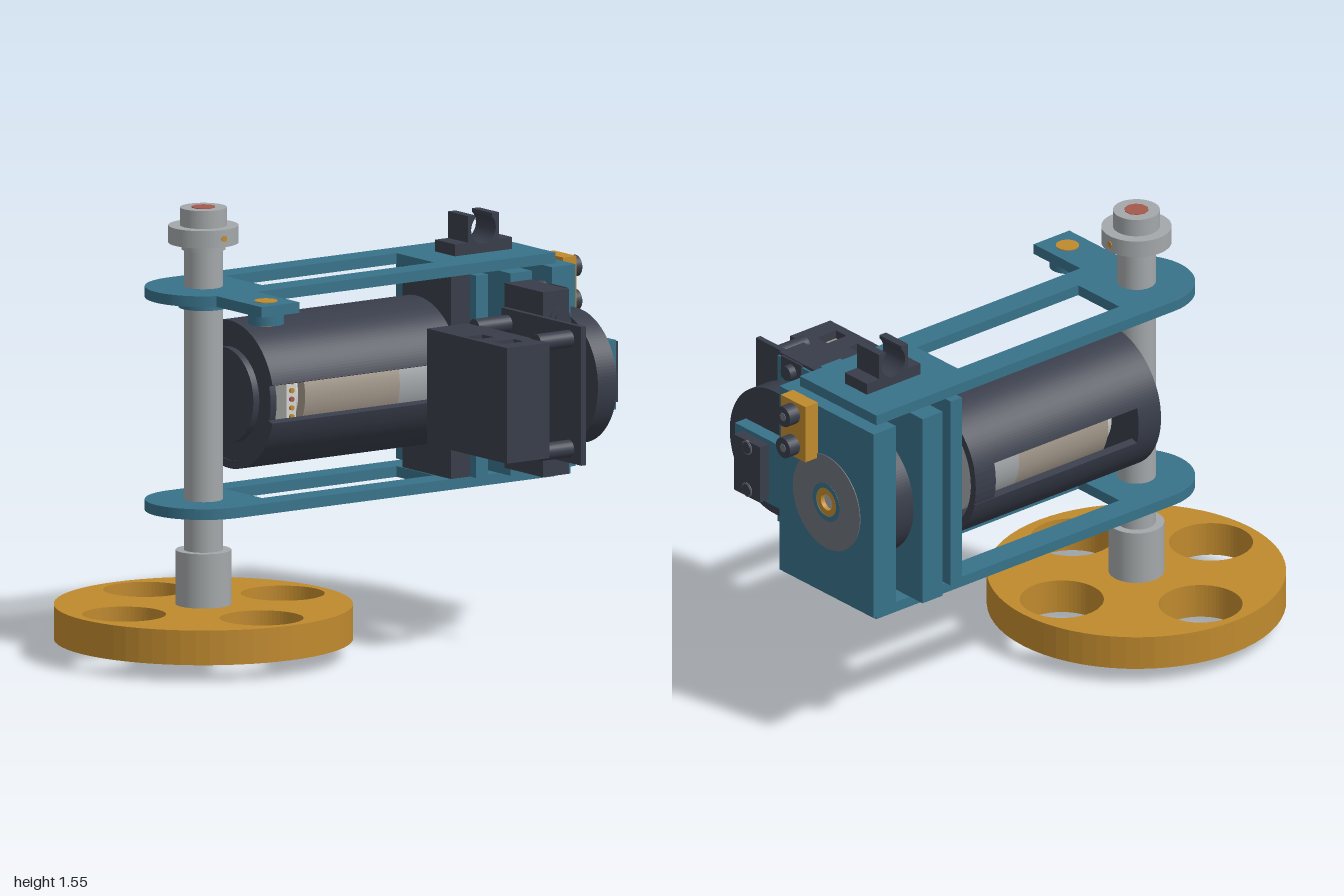
import * as THREE from 'three';

const mat = (name, color, side = THREE.FrontSide) => {
  const m = new THREE.MeshStandardMaterial({ color, side });
  m.name = name;
  return m;
};

export function createModel() {
  const teal = mat('teal', 0x38728a), gold = mat('gold', 0xc08a2e), dark = mat('charcoal', 0x383d4a);
  const silver = mat('silver', 0xa4a8aa), grey = mat('mid grey', 0x6c717a), beige = mat('beige', 0xa3988b);
  const white = mat('pale grey', 0xd4d6d2), red = mat('dull red', 0xa5594c);
  const model = new THREE.Group();
  const AX = -0.49, AZ = -0.118, MY = 0.89, SZ = 0.285; // upright shaft x/z, motor axis height, side shaft z

  const add = (name, geo, m) => {
    const mesh = new THREE.Mesh(geo, m);
    mesh.name = name;
    model.add(mesh);
    return mesh;
  };
  const box = (name, m, x0, x1, y0, y1, z0, z1) =>
    add(name, new THREE.BoxGeometry(x1 - x0, y1 - y0, z1 - z0)
      .translate((x0 + x1) / 2, (y0 + y1) / 2, (z0 + z1) / 2), m);
  const cylY = (name, m, r, y0, y1, x = AX, z = AZ, seg = 48) =>
    add(name, new THREE.CylinderGeometry(r, r, y1 - y0, seg).translate(x, (y0 + y1) / 2, z), m);
  const cylX = (name, m, r, x0, x1, y = MY, z = AZ, seg = 48) =>
    add(name, new THREE.CylinderGeometry(r, r, x1 - x0, seg).rotateZ(-Math.PI / 2)
      .translate((x0 + x1) / 2, y, z), m);
  const cylZ = (name, m, r, z0, z1, x, y, seg = 20) =>
    add(name, new THREE.CylinderGeometry(r, r, z1 - z0, seg).rotateX(Math.PI / 2)
      .translate(x, y, (z0 + z1) / 2), m);
  const extrude = (s, depth) =>
    new THREE.ExtrudeGeometry(s, { depth, bevelEnabled: false, curveSegments: 32 });
  // outline in (x, z), thickness along y
  const flat = (name, m, s, y0, y1) =>
    add(name, extrude(s, y1 - y0).rotateX(Math.PI / 2).translate(0, y1, 0), m);
  // outline in (-z, y), thickness along x
  const slab = (name, m, s, x0, x1) =>
    add(name, extrude(s, x1 - x0).rotateY(Math.PI / 2).translate(x0, 0, 0), m);
  const circle = (x, y, r) => new THREE.Path().absarc(x, y, r, 0, Math.PI * 2, true);
  const rect = (x0, x1, y0, y1, C = THREE.Shape) => new C([[x0, y0], [x1, y0], [x1, y1], [x0, y1]]
    .map(p => new THREE.Vector2(...p)));

  // Wheel with four round openings
  const wheel = new THREE.Shape().absarc(AX, AZ, 0.51, 0, Math.PI * 2);
  for (let i = 0; i < 4; i++) {
    const a = i * Math.PI / 2;
    wheel.holes.push(circle(AX + 0.335 * Math.cos(a), AZ + 0.335 * Math.sin(a), 0.143));
  }
  flat('wheel', gold, wheel, 0.057, 0.177);
  cylY('wheelHub', gold, 0.12, 0.002, 0.06);
  cylY('hubBushing', grey, 0.072, 0.001, 0.01);
  cylY('shaftEnd', silver, 0.035, 0, 0.01);
  cylZ('hubScrew', dark, 0.018, AZ + 0.11, AZ + 0.122, AX + 0.02, 0.03);

  // Upright shaft, sleeve and collar
  cylY('shaft', silver, 0.066, 0.17, 1.45);
  cylY('shaftSleeve', silver, 0.095, 0.175, 0.365);
  cylY('collarNeck', silver, 0.075, 1.405, 1.43);
  cylY('collar', silver, 0.12, 1.428, 1.488);
  cylY('shaftCap', silver, 0.08, 1.488, 1.55);
  cylY('capCore', red, 0.042, 1.54, 1.552, AX, AZ, 10);
  cylZ('collarScrew', gold, 0.011, AZ + 0.11, AZ + 0.122, AX, 1.457);
  cylX('collarScrew', gold, 0.011, AX + 0.11, AX + 0.122, 1.457, AZ, 20);

  // Top and bottom frame plates, the top one with a side tab
  const framePlate = tab => {
    const s = new THREE.Shape();
    const z0 = AZ - 0.2, z1 = AZ + 0.2;
    s.moveTo(0.85, z0);
    s.lineTo(0.85, z1);
    if (tab) {
      s.lineTo(-0.41, z1);
      s.lineTo(-0.41, 0.325);
      s.lineTo(-0.57, 0.325);
      s.lineTo(-0.57, AZ + 0.183);
      s.absarc(AX, AZ, 0.2, Math.PI * 0.631, Math.PI * 1.5, false);
    } else {
      s.lineTo(AX, z1);
      s.absarc(AX, AZ, 0.2, Math.PI / 2, Math.PI * 1.5, false);
    }
    s.closePath();
    s.holes.push(rect(-0.32, 0.405, -0.226, -0.012, THREE.Path));
    return s;
  };
  flat('topPlate', teal, framePlate(true), 1.24, 1.277);
  flat('bottomPlate', teal, framePlate(false), 0.503, 0.54);
  cylY('shaftBearingSeat', teal, 0.085, 1.205, 1.24);
  cylY('tabBoss', teal, 0.062, 1.2, 1.24, AX, 0.242);
  cylY('tabBushing', gold, 0.04, 1.195, 1.28, AX, 0.242, 32);

  // Motor housing: two curved shells leaving slots at front and back
  const R = 0.256, r = 0.228, a0 = 0.26;
  for (const k of [0, 1]) {
    const s = new THREE.Shape();
    const b = a0 + k * Math.PI, e = Math.PI - a0 + k * Math.PI;
    s.absarc(-AZ, MY, R, b, e, false);
    s.absarc(-AZ, MY, r, e, b, true);
    s.closePath();
    slab('motorShell', dark, s, -0.38, 0.45);
  }
  const ring = new THREE.Shape().absarc(-AZ, MY, R - 0.002, 0, Math.PI * 2);
  ring.holes.push(circle(-AZ, MY, r));
  slab('shellBand', dark, ring, 0.36, 0.45);
  const patch = new THREE.Shape();
  patch.absarc(-AZ, MY, R, -a0, a0, false);
  patch.absarc(-AZ, MY, r, a0, -a0, true);
  slab('shellBackBridge', dark, patch, -0.38, -0.28);
  cylX('motorEndCap', dark, 0.23, -0.375, -0.35);
  cylX('motorEndBoss', dark, 0.165, -0.4, -0.37);
  cylX('motorBody', beige, 0.19, -0.2, 0.2);
  cylX('motorFront', silver, 0.19, 0.2, 0.4);
  cylX('motorRear', white, 0.15, -0.25, -0.2);
  box('connector', white, -0.285, -0.245, 0.81, 0.97, 0.0, 0.08);
  for (let i = 0; i < 5; i++)
    cylZ('connectorPin', i === 2 ? red : gold, 0.009, 0.08, 0.088, -0.265, 0.83 + i * 0.03, 10);
  box('motorFlange', dark, 0.41, 0.49, 0.54, 1.24, -0.2, 0.08);

  // Upright plates across the frame
  box('motorPlate', teal, 0.49, 0.54, 0.54, 1.24, -0.345, 0.115);
  box('middlePlate', teal, 0.61, 0.7, 0.54, 1.24, -0.385, 0.15);
  const end = rect(-0.13, 0.362, 0.54, 1.238);
  end.holes.push(circle(-AZ, MY, 0.055));
  slab('endBlock', teal, end, 0.8, 0.9);

  // Output bearing set into the end block
  const annulus = (name, m, ro, ri, x0, x1) => {
    const s = new THREE.Shape().absarc(-AZ, MY, ro, 0, Math.PI * 2);
    s.holes.push(circle(-AZ, MY, ri));
    slab(name, m, s, x0, x1);
  };
  annulus('bearingFace', grey, 0.175, 0.07, 0.895, 0.903);
  annulus('bearingRim', teal, 0.07, 0.052, 0.89, 0.904);
  annulus('bearingBushing', gold, 0.053, 0.03, 0.85, 0.902);
  cylX('driveShaft', silver, 0.031, 0.4, 0.885);

  // Belt cover spanning the two parallel shafts
  const belt = new THREE.Shape();
  belt.absarc(-AZ, MY, 0.232, -Math.PI / 2, Math.PI / 2, false);
  belt.absarc(-SZ, MY, 0.232, Math.PI / 2, Math.PI * 1.5, false);
  belt.closePath();
  slab('beltCover', dark, belt, 0.71, 0.79);

  // Side shaft with bearings and carrier
  box('shaftCarrier', dark, 0.585, 0.695, 0.57, 1.21, 0.15, 0.37);
  box('carrierFace', teal, 0.695, 0.703, 0.57, 1.2, 0.2, 0.368);
  for (const y of [0.605, 1.17]) {
    box('screwPad', dark, 0.7, 0.708, y - 0.04, y + 0.04, 0.24, 0.345);
    cylX('carrierScrew', dark, 0.026, 0.7, 0.735, y, 0.29, 20);
    cylX('carrierScrew', dark, 0.022, 0.755, 0.785, y, 0.1, 20);
  }
  for (const y of [0.67, 1.11]) {
    cylZ('carrierBolt', dark, 0.042, 0.365, 0.376, 0.655, y, 24);
    cylZ('carrierBoltHead', dark, 0.026, 0.37, 0.384, 0.655, y, 6);
  }
  cylX('sideShaft', silver, 0.03, 0.4, 0.9, MY, SZ);
  cylX('sideCoupling', teal, 0.056, 0.45, 0.59, MY, SZ);
  cylX('sideBushing', gold, 0.052, 0.785, 0.852, MY, SZ);
  box('bearingArm', teal, 0.85, 0.9, 0.77, 1.01, 0.1, 0.362);
  box('armPad', dark, 0.9, 0.94, 0.785, 0.995, 0.185, 0.32);
  for (const y of [0.81, 0.97]) {
    cylX('armScrew', grey, 0.026, 0.935, 0.942, y, 0.252, 24);
    cylX('armScrewHead', dark, 0.021, 0.935, 0.945, y, 0.252, 24);
  }

  // Sensor box with vertical slots, its end plate and spacers
  const sensor = rect(0.25, 0.43, 0.16, 0.62);
  sensor.holes.push(rect(0.265, 0.335, 0.362, 0.425, THREE.Path));
  sensor.holes.push(rect(0.285, 0.37, 0.495, 0.55, THREE.Path));
  flat('sensorBox', dark, sensor, 0.69, 1.09);
  box('sensorCore', beige, 0.285, 0.37, 0.7, 1.06, 0.495, 0.55);
  box('sensorLid', dark, 0.41, 0.45, 0.71, 1.07, 0.18, 0.44);
  box('sensorPlate', dark, 0.56, 0.58, 0.65, 1.13, 0.165, 0.625);
  for (const y of [0.7, 1.08]) for (const z of [0.2, 0.555])
    cylX('spacer', dark, 0.03, 0.42, 0.565, y, z, 24);
  for (const y of [0.77, 1.01]) {
    cylX('terminal', gold, 0.025, 0.44, 0.47, y, 0.37, 16);
    cylX('terminalPin', dark, 0.012, 0.46, 0.51, y, 0.37, 12);
  }

  // Gold stop block with two screws
  box('stopBlock', gold, 0.9, 0.956, 1.04, 1.25, -0.07, 0.058);
  for (const y of [1.085, 1.203]) {
    cylX('stopScrew', dark, 0.037, 0.956, 1.0, y, -0.005, 24);
    cylX('stopScrewSocket', grey, 0.016, 0.99, 1.002, y, -0.005, 6);
  }

  // Open clip on the top plate
  const clip = new THREE.Shape();
  clip.moveTo(0.53, 1.277);
  clip.lineTo(0.77, 1.277);
  clip.lineTo(0.77, 1.318);
  clip.lineTo(0.715, 1.318);
  clip.lineTo(0.715, 1.41);
  clip.lineTo(0.685, 1.41);
  clip.absarc(0.65, 1.36, 0.052, 0.8, Math.PI - 0.8, true);
  clip.lineTo(0.615, 1.41);
  clip.lineTo(0.585, 1.41);
  clip.lineTo(0.585, 1.318);
  clip.lineTo(0.53, 1.318);
  clip.closePath();
  add('clip', extrude(clip, 0.115).translate(0, 0, -0.175), dark);

  return model;
}
